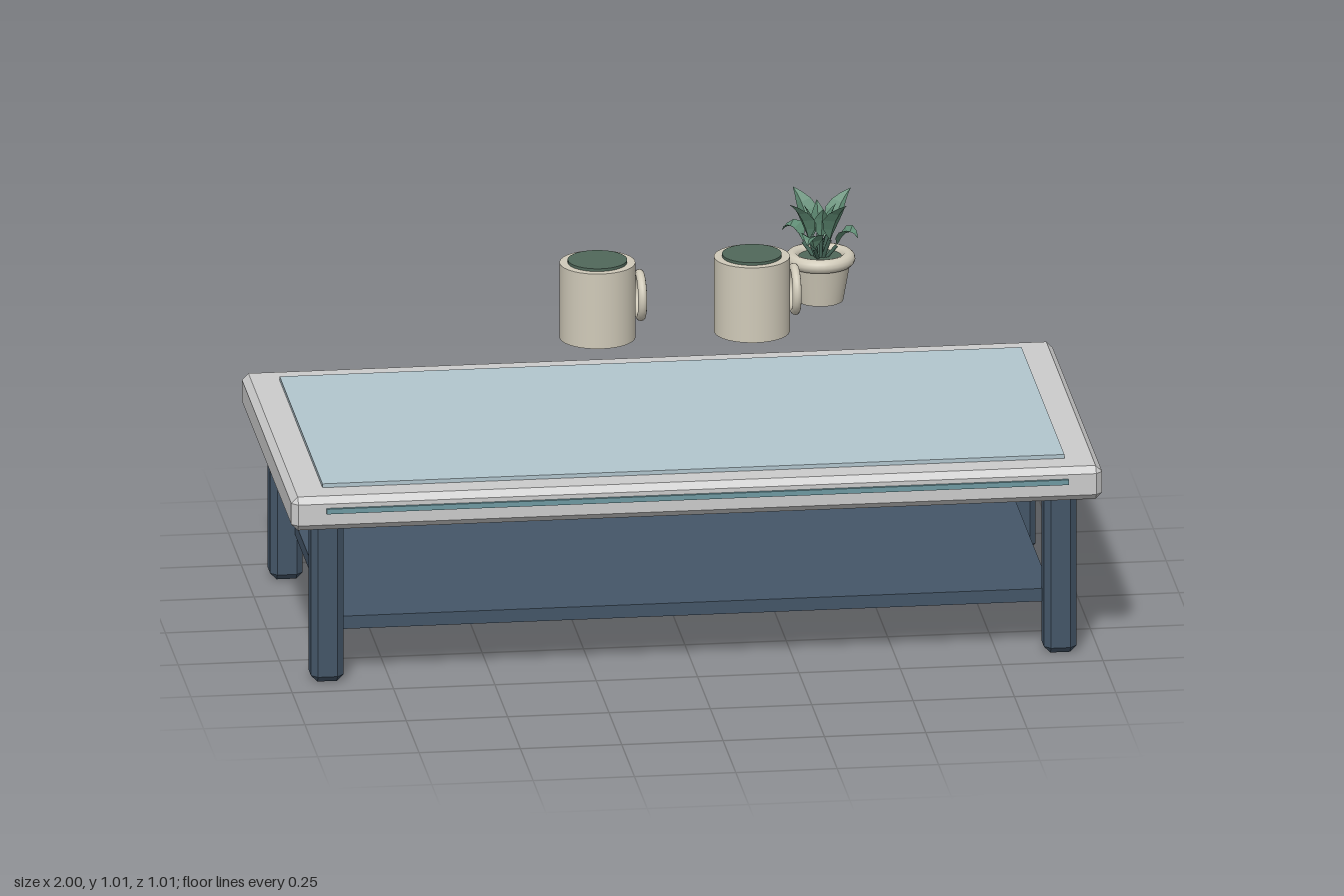
import * as THREE from 'three';
import { ConvexGeometry } from 'three/addons/geometries/ConvexGeometry.js';

const mat = (color, extra = {}) => new THREE.MeshStandardMaterial({ color, ...extra });
const grey = mat(0xcccccc, { flatShading: true });
const blue = mat(0x445668, { flatShading: true });
const glass = mat(0xb2c6ce);
const teal = mat(0x6f9aa2);
const clay = mat(0xd0cab9);
const dark = mat(0x50685a);
const leafGreen = mat(0x5f8c74, { flatShading: true, side: THREE.DoubleSide });
const stemGreen = mat(0x47685a);

function add(parent, name, geometry, material, x = 0, y = 0, z = 0) {
  const mesh = new THREE.Mesh(geometry, material);
  mesh.name = name;
  mesh.position.set(x, y, z);
  parent.add(mesh);
  return mesh;
}

// Box with every edge cut at 45 degrees
function chamferBox(w, h, d, c) {
  const points = [];
  for (const sx of [-1, 1]) for (const sy of [-1, 1]) for (const sz of [-1, 1]) {
    for (const [a, b, e] of [[0, c, c], [c, 0, c], [c, c, 0]]) {
      points.push(new THREE.Vector3(sx * (w / 2 - a), sy * (h / 2 - b), sz * (d / 2 - e)));
    }
  }
  return new ConvexGeometry(points);
}

function createTable() {
  const table = new THREE.Group();
  table.name = 'table';
  table.position.z = -0.003;
  add(table, 'tableTop', chamferBox(2, 0.086, 1.0, 0.016), grey, 0, 0.455, 0);
  add(table, 'topPanel', new THREE.BoxGeometry(1.83, 0.02, 0.84), glass, 0, 0.498, 0);
  add(table, 'frontStrip', new THREE.BoxGeometry(1.83, 0.013, 0.015), teal, 0, 0.4645, 0.5);
  add(table, 'lowerShelf', new THREE.BoxGeometry(1.77, 0.033, 0.77), blue, 0, 0.1365, 0);
  for (const sx of [-1, 1]) for (const sz of [-1, 1]) {
    add(table, 'leg', chamferBox(0.08, 0.43, 0.08, 0.016), blue, sx * 0.904, 0.215, sz * 0.4);
  }
  return table;
}

function createMug(x) {
  const mug = new THREE.Group();
  mug.name = 'mug';
  mug.position.set(x, 0.742, 0.069);
  add(mug, 'mugBody', new THREE.CylinderGeometry(0.093, 0.093, 0.193, 32), clay, 0, 0.0965, 0);
  add(mug, 'drinkSurface', new THREE.CylinderGeometry(0.073, 0.073, 0.02, 32), dark, 0, 0.19, 0);
  const handle = add(mug, 'mugHandle', new THREE.TorusGeometry(0.053, 0.011, 12, 32), clay, 0.105, 0.104, 0);
  handle.rotation.y = Math.PI / 2;
  return mug;
}

// Folded leaf blade along a curve in the xy plane, width along z
function leafGeometry(curve, width) {
  const profile = [0.08, 0.75, 1, 0.78, 0.4, 0.02];
  const positions = [], index = [];
  profile.forEach((f, i) => {
    const t = i / (profile.length - 1);
    const p = curve.getPoint(t), d = curve.getTangent(t);
    const half = f * width / 2, lift = half * 0.45;
    for (const s of [-1, 0, 1]) {
      const k = Math.abs(s) * lift;
      positions.push(p.x - d.y * k, p.y + d.x * k, s * half);
    }
    if (i === 0) return;
    for (const j of [0, 1]) {
      const a = (i - 1) * 3 + j;
      index.push(a, a + 1, a + 3, a + 1, a + 4, a + 3);
    }
  });
  const geometry = new THREE.BufferGeometry();
  geometry.setAttribute('position', new THREE.Float32BufferAttribute(positions, 3));
  geometry.setIndex(index);
  geometry.computeVertexNormals();
  return geometry;
}

function createPlant() {
  const plant = new THREE.Group();
  plant.name = 'pottedPlant';
  plant.position.set(0.384, 0.742, -0.153);
  add(plant, 'pot', new THREE.CylinderGeometry(0.075, 0.057, 0.1, 24), clay, 0, 0.05, 0);
  const rim = add(plant, 'potRim', new THREE.TorusGeometry(0.069, 0.0175, 12, 32), clay, 0, 0.107, 0);
  rim.rotation.x = Math.PI / 2;
  add(plant, 'soil', new THREE.CylinderGeometry(0.066, 0.066, 0.02, 24), dark, 0, 0.102, 0);

  // Three kinds of leaf: tall, spreading and inner; [stem x, stem y, mid x, mid y, tip x, tip y, width]
  const kinds = [
    [0.037, 0.165, 0.058, 0.235, 0.1, 0.266, 0.062],
    [0.044, 0.145, 0.072, 0.205, 0.098, 0.168, 0.058],
    [0.018, 0.165, 0.022, 0.21, 0.04, 0.245, 0.042],
  ];
  const count = 12;
  for (let i = 0; i < count; i++) {
    const [bx, by, mx, my, tx, ty, width] = kinds[i % 3];
    const leaf = new THREE.Group();
    leaf.name = 'leafWithStem';
    leaf.rotation.y = (i / count) * Math.PI * 2 + 0.6;
    const v = (x, y) => new THREE.Vector3(x, y, 0);
    const stem = new THREE.QuadraticBezierCurve3(v(0.008, 0.1), v(bx * 0.6, by * 0.85), v(bx, by));
    const blade = new THREE.QuadraticBezierCurve3(v(bx, by), v(mx, my), v(tx, ty));
    add(leaf, 'stem', new THREE.TubeGeometry(stem, 5, 0.005, 6), stemGreen);
    add(leaf, 'leafBlade', leafGeometry(blade, width), leafGreen);
    plant.add(leaf);
  }
  return plant;
}

export function createModel() {
  const model = new THREE.Group();
  model.name = 'coffeeTableSet';
  model.add(createTable(), createMug(-0.193), createMug(0.188), createPlant());
  return model;
}
